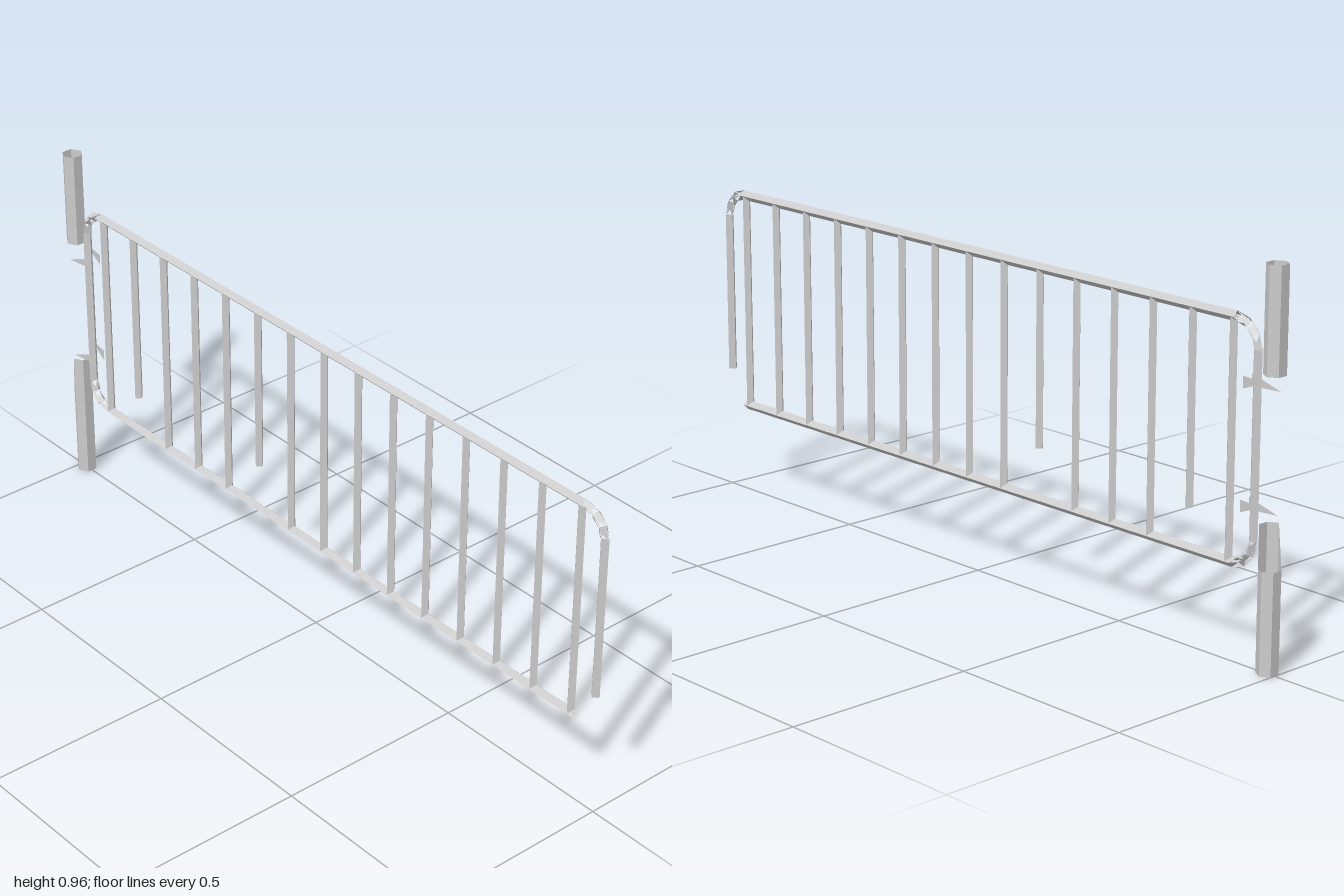
import * as THREE from 'three';

const steel = new THREE.MeshStandardMaterial({ color: 0xcccccc, flatShading: true, side: THREE.DoubleSide });
const R = 0.013;             // radius of the four-sided tubes
const TOP = 0.818, BOTTOM = 0.24, BEND = 0.065;

function add(group, name, geometry) {
  const mesh = new THREE.Mesh(geometry, steel);
  mesh.name = name;
  group.add(mesh);
  return mesh;
}

// Open vertical tube between two heights
function upright(group, name, x, y0, y1, radius = R, sides = 4) {
  const g = new THREE.CylinderGeometry(radius, radius, y1 - y0, sides, 1, true);
  g.translate(x, (y0 + y1) / 2, 0);
  return add(group, name, g);
}

function rail(group, name, x0, x1, y) {
  const g = new THREE.CylinderGeometry(R, R, x1 - x0, 4, 1, true);
  g.rotateZ(Math.PI / 2).translate((x0 + x1) / 2, y, 0);
  return add(group, name, g);
}

function triangles(points) {
  const g = new THREE.BufferGeometry();
  g.setAttribute('position', new THREE.Float32BufferAttribute(points.flat(), 3));
  g.computeVertexNormals();
  return g;
}

// Torn quarter bend: one triangle is left of every quad of the swept tube
function tornBend(group, name, cx, cy, start) {
  const steps = 3, pts = [];
  const at = (i, k) => {
    const a = start + (i / steps) * Math.PI / 2, t = k * Math.PI / 2;
    const r = BEND + R * Math.cos(t);
    return [cx + r * Math.cos(a), cy + r * Math.sin(a), R * Math.sin(t)];
  };
  for (let i = 0; i < steps; i++) {
    for (let k = 0; k < 4; k++) pts.push(at(i, k), at(i + 1, k), at(i + 1, k + 1));
  }
  add(group, name, triangles(pts));
}

export function createModel() {
  const model = new THREE.Group();
  model.name = 'brokenGate';

  // Frame
  const frame = new THREE.Group();
  frame.name = 'frame';
  model.add(frame);
  const hingeX = -0.925, latchX = 0.986;
  rail(frame, 'topRail', hingeX + BEND, latchX - BEND, TOP);
  rail(frame, 'bottomRail', hingeX + BEND, 0.925, BOTTOM);
  upright(frame, 'hingeUpright', hingeX, BOTTOM + BEND, TOP - BEND);
  upright(frame, 'latchUpright', latchX, 0.33, TOP - BEND);
  tornBend(frame, 'topHingeBend', hingeX + BEND, TOP - BEND, Math.PI / 2);
  tornBend(frame, 'bottomHingeBend', hingeX + BEND, BOTTOM + BEND, Math.PI);
  tornBend(frame, 'topLatchBend', latchX - BEND, TOP - BEND, 0);

  // Bars, two of them snapped off short
  const bars = new THREE.Group();
  bars.name = 'bars';
  model.add(bars);
  const snapped = { 1: 0.34, 5: 0.37 };
  for (let i = 0; i < 15; i++) {
    upright(bars, 'bar', -0.85 + i * 0.1258, snapped[i] ?? BOTTOM, TOP, 0.0122);
  }

  // Hexagonal post, missing its middle
  const postX = -0.9765, postR = 0.027;
  upright(model, 'upperPost', postX, 0.705, 0.96, postR, 6);
  upright(model, 'lowerPost', postX, 0, 0.25, postR, 6);

  // Jagged rim of the lower post
  const rim = (k, y) => [postX + postR * Math.sin(k * Math.PI / 3), y, postR * Math.cos(k * Math.PI / 3)];
  const low = 0.25, high = 0.355, shards = [];
  for (const k of [0, 1]) {
    shards.push(rim(k, low), rim(k + 1, low), rim(k + 1, high));
    shards.push(rim(k, low), rim(k + 1, high), rim(k, high));
  }
  shards.push(rim(5, low), rim(6, low), rim(6, high));
  add(model, 'postShards', triangles(shards));

  // Torn hinge straps, one sliver on each side of the gate
  for (const y of [0.37, 0.66]) {
    const a = -0.972, b = -0.895, h = y + 0.03;
    add(model, 'hingeStrap', triangles([
      [a, y, 0.027], [b, y, 0.015], [b, h, 0.015],
      [a, h, -0.027], [b, h, -0.015], [b, y, -0.015],
    ]));
  }
  return model;
}
